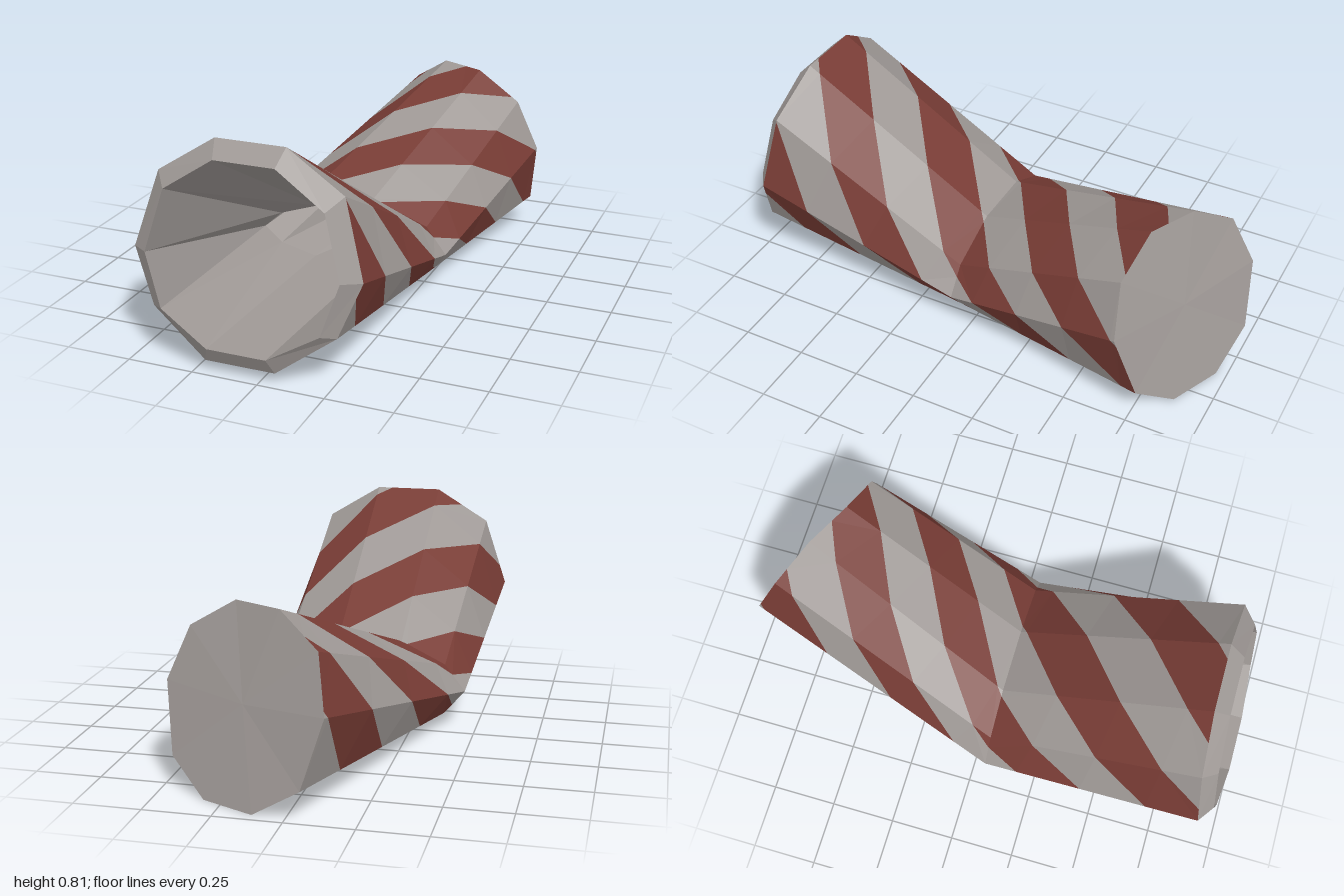
import * as THREE from 'three';

const SIDES = 10;
const V = (p) => new THREE.Vector3(...p);

// Cross-sections, counter-clockwise from the model's left side
const frontOuter = [
  [0.355, 0.40, 0.905], [0.275, 0.68, 0.863], [0.055, 0.815, 0.84], [-0.21, 0.815, 0.84], [-0.42, 0.68, 0.863],
  [-0.505, 0.40, 0.905], [-0.42, 0.20, 0.942], [-0.21, 0.04, 0.97], [0.055, 0.04, 0.97], [0.275, 0.20, 0.942],
].map(V);
const frontInner = [
  [0.29, 0.405, 0.952], [0.225, 0.635, 0.92], [0.04, 0.757, 0.902], [-0.19, 0.757, 0.902], [-0.375, 0.635, 0.92],
  [-0.44, 0.405, 0.952], [-0.375, 0.21, 0.975], [-0.19, 0.10, 1.0], [0.035, 0.10, 1.0], [0.225, 0.21, 0.975],
].map(V);
const bendOuter = [
  [0.355, 0.155, 0.055], [0.275, 0.26, 0.055], [0.055, 0.345, 0.055], [-0.20, 0.345, 0.055], [-0.375, 0.26, 0.055],
  [-0.455, 0.155, 0.055], [-0.375, 0.06, 0.055], [-0.21, 0.003, 0.055], [0.055, 0.003, 0.055], [0.275, 0.06, 0.055],
].map(V);
const backOuter = [
  [0.505, 0.37, -0.69], [0.42, 0.57, -0.668], [0.24, 0.68, -0.70], [0.06, 0.68, -0.79], [-0.10, 0.57, -0.89],
  [-0.14, 0.37, -0.975], [-0.06, 0.115, -1.0], [0.12, 0, -0.96], [0.32, 0, -0.87], [0.465, 0.115, -0.77],
].map(V);

const middle = (ring) => ring.reduce((sum, p) => sum.add(p), new THREE.Vector3()).divideScalar(SIDES);

// Copy of a ring, shrunk about its middle to leave a wall thickness
function shrink(ring, sx, sy, shift = 0) {
  const c = middle(ring);
  const scale = new THREE.Vector3(sx, sy, sx);
  return ring.map((p) => p.clone().sub(c).multiply(scale).add(c).add(new THREE.Vector3(0, 0, shift)));
}

const bendInner = shrink(bendOuter, 0.9, 0.64);
const backInner = shrink(backOuter, 0.91, 0.91, 0.03);
const point = (ring) => Array(SIDES).fill(middle(ring));

// Keep the part of a polygon where f >= 0
function clip(poly, f) {
  const out = [];
  poly.forEach((a, i) => {
    const b = poly[(i + 1) % poly.length];
    const fa = f(a), fb = f(b);
    if (fa >= 0) out.push(a);
    if ((fa > 0 && fb < 0) || (fa < 0 && fb > 0)) {
      const t = fa / (fa - fb);
      out.push([a[0] + (b[0] - a[0]) * t, a[1] + (b[1] - a[1]) * t]);
    }
  });
  return out;
}

// Surface between two rings; pieces(k) lists the polygons to draw on side k
const wholeSide = () => [[[0, 0], [0, 1], [1, 1], [1, 0]]];
function loft(a, b, pieces = wholeSide) {
  const pos = [];
  for (let k = 0; k < SIDES; k++) {
    const n = (k + 1) % SIDES;
    const at = ([u, v]) => a[k].clone().lerp(a[n], u).lerp(b[k].clone().lerp(b[n], u), v);
    for (const poly of pieces(k)) {
      const pts = poly.map(at);
      for (let i = 1; i + 1 < pts.length; i++) {
        const tri = new THREE.Triangle(pts[0], pts[i], pts[i + 1]);
        if (tri.getArea() < 1e-8) continue;
        for (const p of [tri.a, tri.b, tri.c]) pos.push(p.x, p.y, p.z);
      }
    }
  }
  const g = new THREE.BufferGeometry();
  g.setAttribute('position', new THREE.Float32BufferAttribute(pos, 3));
  g.computeVertexNormals();
  return g;
}

// Four spiral stripes around the tube: parity 0 is the painted half of each turn
function stripes(start, turns, parity) {
  return (k) => {
    const phase = ([u, v]) => 2 * (start + 0.4 * (k + u) + turns * v);
    const out = [];
    for (let j = Math.floor(phase([0, 0])); j <= phase([1, 1]); j++) {
      if (j % 2 !== parity) continue;
      const band = clip(clip(wholeSide()[0], (p) => phase(p) - j), (p) => j + 1 - phase(p));
      if (band.length > 2) out.push(band);
    }
    return out;
  };
}

export function createModel() {
  const model = new THREE.Group();
  model.name = 'bentStripedTube';
  const grey = new THREE.MeshStandardMaterial({ color: 0x9f9996 });
  grey.name = 'warm grey';
  const red = new THREE.MeshStandardMaterial({ color: 0x783c35 });
  red.name = 'brick red';

  const add = (name, geometry, material) => {
    const mesh = new THREE.Mesh(geometry, material);
    mesh.name = name;
    model.add(mesh);
  };

  // Striped outer walls
  const walls = [
    ['front', frontOuter, bendOuter, 0.11, 1.64],
    ['back', bendOuter, backOuter, 1.75, 1.79],
  ];
  for (const [name, a, b, start, turns] of walls) {
    add(name + 'RedStripes', loft(a, b, stripes(start, turns, 0)), red);
    add(name + 'GreyStripes', loft(a, b, stripes(start, turns, 1)), grey);
  }

  // Bevelled lip, hollow inside and closed end
  add('lip', loft(frontInner, frontOuter), grey);
  add('frontInnerWall', loft(bendInner, frontInner), grey);
  add('backInnerWall', loft(backInner, bendInner), grey);
  add('innerEnd', loft(point(backInner), backInner), grey);
  add('endCap', loft(backOuter, point(backOuter)), grey);
  return model;
}
